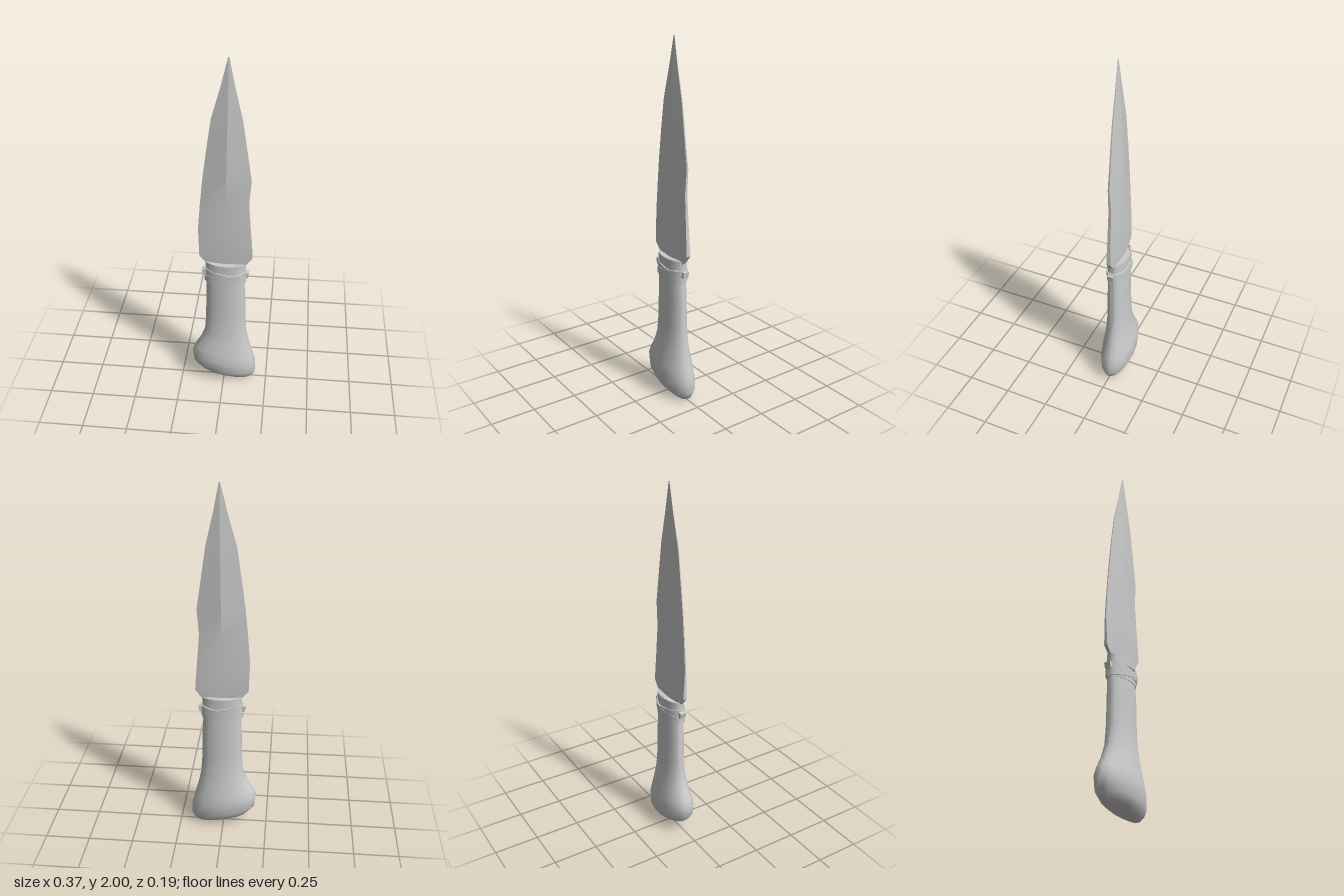
import * as THREE from 'three';
import { toCreasedNormals } from 'three/addons/utils/BufferGeometryUtils.js';

const grey = () => new THREE.MeshStandardMaterial({ color: 0xcccccc });

// Skin rings (each counter-clockwise from above, listed upwards); cap ends or join last to first.
function loft(rings, { crease = 0.6, closed = false } = {}) {
  const n = rings[0].length, pos = rings.flat(2), idx = [];
  const count = closed ? rings.length : rings.length - 1;
  for (let r = 0; r < count; r++) {
    const lo = r * n, hi = ((r + 1) % rings.length) * n;
    for (let i = 0; i < n; i++) {
      const j = (i + 1) % n;
      idx.push(lo + i, lo + j, hi + j, lo + i, hi + j, hi + i);
    }
  }
  if (!closed) {
    [0, rings.length - 1].forEach((r, top) => {
      const c = pos.length / 3;
      for (let k = 0; k < 3; k++) pos.push(rings[r].reduce((s, p) => s + p[k], 0) / n);
      for (let i = 0; i < n; i++) {
        const a = r * n + i, b = r * n + (i + 1) % n;
        idx.push(c, top ? a : b, top ? b : a);
      }
    });
  }
  const g = new THREE.BufferGeometry();
  g.setAttribute('position', new THREE.Float32BufferAttribute(pos, 3));
  g.setIndex(idx);
  return toCreasedNormals(g, crease);
}

// Ellipse slanted between a left point and a right point
function oval(xl, yl, xr, yr, hz, n = 18) {
  return Array.from({ length: n }, (_, i) => {
    const a = (i + 0.5) / n * Math.PI * 2, t = (Math.cos(a) + 1) / 2;
    return [xl + (xr - xl) * t, yl + (yr - yl) * t, -hz * Math.sin(a)];
  });
}

export function createModel() {
  const model = new THREE.Group();
  const add = (name, geometry) => {
    const mesh = new THREE.Mesh(geometry, grey());
    mesh.name = name;
    model.add(mesh);
    return mesh;
  };

  // Handle with a slanted, swollen butt: left x, y, right x, y, half depth
  add('handle', loft([
    [-0.04, 0.035, 0.13, 0.003, 0.025],
    [-0.09, 0.05, 0.155, 0.008, 0.05],
    [-0.14, 0.073, 0.175, 0.026, 0.07],
    [-0.181, 0.12, 0.187, 0.06, 0.088],
    [-0.188, 0.19, 0.186, 0.12, 0.093],
    [-0.168, 0.235, 0.172, 0.175, 0.087],
    [-0.138, 0.285, 0.15, 0.25, 0.074],
    [-0.114, 0.35, 0.13, 0.345, 0.062],
    [-0.106, 0.45, 0.122, 0.45, 0.055],
    [-0.102, 0.6, 0.12, 0.6, 0.053],
    [-0.1, 0.72, 0.112, 0.72, 0.051],
    [-0.088, 0.83, 0.105, 0.83, 0.043],
  ].map((r) => oval(...r)), { crease: 1.1 }));

  // Blade: y, left edge x, ridge x, right edge x, ridge half depth, left and right edge half depth
  add('blade', loft([
    [0.72, -0.06, 0.01, 0.07, 0.018, 0.008, 0.01],
    [0.815, -0.09, 0.01, 0.115, 0.02, 0.008, 0.011],
    [0.87, -0.136, 0.01, 0.155, 0.023, 0.01, 0.012],
    [1.04, -0.141, 0.01, 0.142, 0.025, 0.004, 0.009],
    [1.2, -0.128, 0.01, 0.13, 0.027, 0.003, 0.007],
    [1.34, -0.114, 0.012, 0.141, 0.028, 0.003, 0.005],
    [1.5, -0.093, 0.014, 0.118, 0.024, 0.003, 0.004],
    [1.68, -0.067, 0.017, 0.092, 0.018, 0.002, 0.003],
    [1.85, -0.019, 0.02, 0.053, 0.009, 0.001, 0.002],
    [2.0, 0.018, 0.021, 0.024, 0.001, 0.0005, 0.0005],
  ].map(([y, l, m, r, d, dl, dr]) => [
    [r, y, dr], [r, y, -dr], [m, y, -d], [l, y, -dl], [l, y, dl], [m, y, d],
  ]), { crease: 0.35 }));

  // Flat cords wound around the neck: left y, right y, height, outer growth
  const wraps = new THREE.Group();
  wraps.name = 'wrapping';
  model.add(wraps);
  [
    [0.81, 0.803, 0.05, 0],
    [0.772, 0.735, 0.042, 0.006],
    [0.728, 0.762, 0.036, 0.009],
    [0.722, 0.712, 0.03, 0.002],
  ].forEach(([yl, yr, h, grow]) => {
    const ring = (dy, out) => oval(-0.102 - out, yl + dy, 0.117 + out, yr + dy, 0.053 + out * 0.6, 20);
    const band = add('wrapBand', loft([
      ring(-h / 2, grow), ring(h / 2, grow), ring(h / 2, grow - 0.012), ring(-h / 2, grow - 0.012),
    ], { closed: true }));
    wraps.add(band);
  });

  // Tucked cord ends on both sides
  [[-0.108, 0.765, 0.25], [0.123, 0.758, -0.15]].forEach(([x, y, tilt]) => {
    const end = add('cordEnd', new THREE.BoxGeometry(0.025, 0.034, 0.035));
    end.position.set(x, y, 0);
    end.rotation.z = tilt;
    wraps.add(end);
  });

  return model;
}
